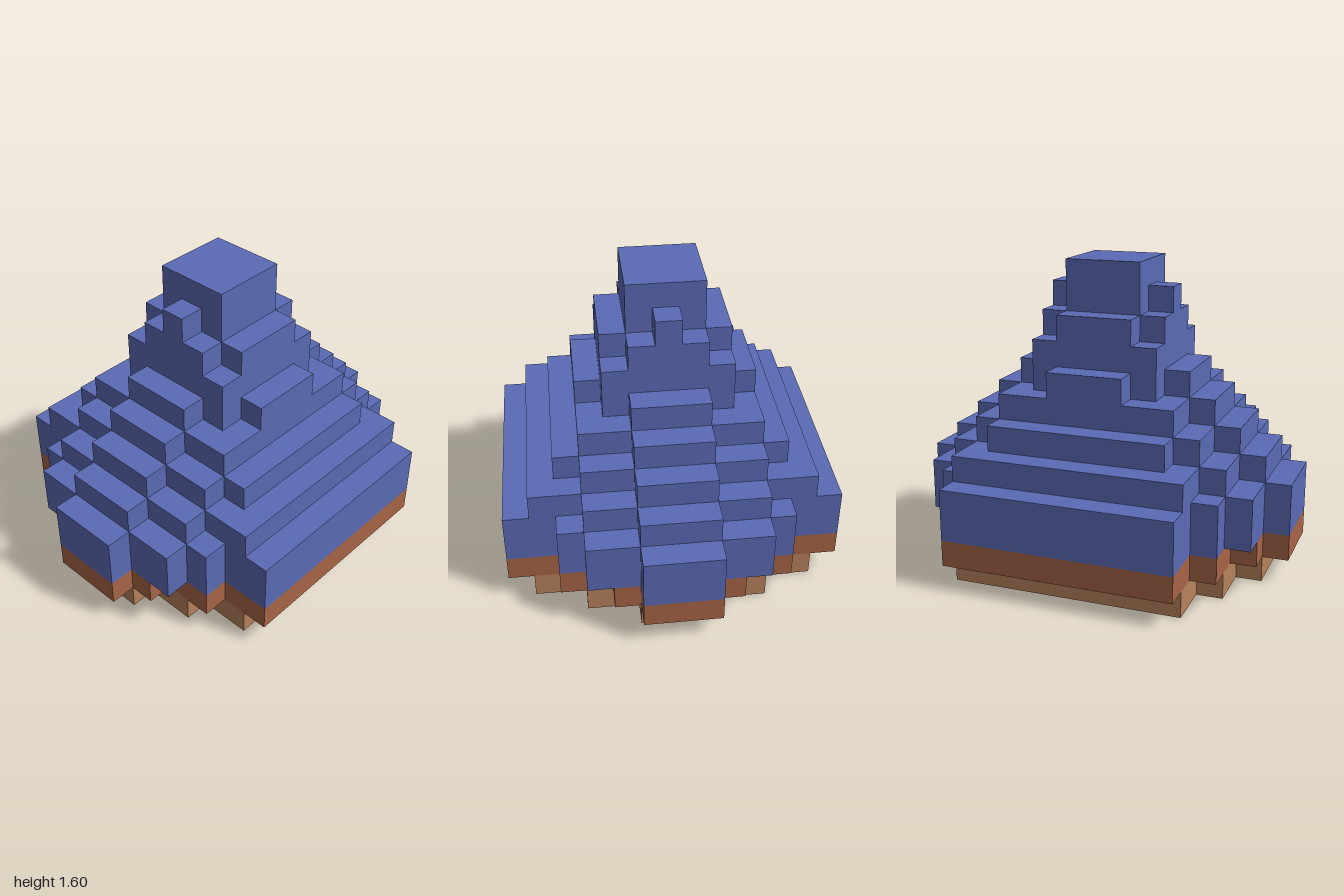
import * as THREE from 'three';

const U = 2 / 15; // edge of one block

// One quadrant of column heights: rows run outward in z, entries outward in x.
const HEIGHTS = [
  [12, 12, 11, 8, 7, 6, 5, 4],
  [12, 12, 10, 8, 7, 6, 5, 4],
  [10, 10, 9, 7, 6, 5, 4],
  [8, 8, 7, 7, 6, 5, 4],
  [6, 6, 6, 6, 5, 4],
  [5, 5, 5, 5, 5],
  [4, 4, 4, 4, 4],
];
// Blocks per row in the two undercut bottom layers.
const FOOTING = [7, 7, 6, 6, 5, 5, 0];
const BRIM = [8, 8, 7, 6, 6, 5, 5];

function solid(x, y, z) {
  const i = Math.abs(x), j = Math.abs(z);
  if (j > 6 || y < 0) return false;
  if (y === 0) return i < FOOTING[j];
  if (y === 1) return i < BRIM[j];
  return y < (HEIGHTS[j][i] ?? 0);
}

// Outward normal and two in-plane axes (u x v = n) for the six block sides.
const SIDES = [
  [[1, 0, 0], [0, 1, 0], [0, 0, 1]],
  [[-1, 0, 0], [0, 0, 1], [0, 1, 0]],
  [[0, 1, 0], [0, 0, 1], [1, 0, 0]],
  [[0, -1, 0], [1, 0, 0], [0, 0, 1]],
  [[0, 0, 1], [1, 0, 0], [0, 1, 0]],
  [[0, 0, -1], [0, 1, 0], [1, 0, 0]],
];
const CORNERS = [[-1, -1], [1, -1], [1, 1], [-1, -1], [1, 1], [-1, 1]];

// Exposed block sides chosen by pick(layer, side normal); the bottom stays open.
function shell(pick) {
  const positions = [], normals = [];
  for (let y = 0; y < 12; y++)
    for (let z = -6; z <= 6; z++)
      for (let x = -7; x <= 7; x++) {
        if (!solid(x, y, z)) continue;
        for (const [n, u, v] of SIDES) {
          if (solid(x + n[0], y + n[1], z + n[2])) continue;
          if (y + n[1] < 0 || !pick(y, n)) continue;
          const centre = [x, y + 0.5, z];
          for (const [a, b] of CORNERS) {
            for (let k = 0; k < 3; k++)
              positions.push((centre[k] + (n[k] + a * u[k] + b * v[k]) / 2) * U);
            normals.push(...n);
          }
        }
      }
  const g = new THREE.BufferGeometry();
  g.setAttribute('position', new THREE.Float32BufferAttribute(positions, 3));
  g.setAttribute('normal', new THREE.Float32BufferAttribute(normals, 3));
  return g;
}

function material(name, color) {
  const m = new THREE.MeshStandardMaterial({ color, side: THREE.DoubleSide });
  m.name = name;
  return m;
}

export function createModel() {
  const group = new THREE.Group();
  group.name = 'steppedHat';
  const add = (name, mat, pick) => {
    const mesh = new THREE.Mesh(shell(pick), mat);
    mesh.name = name;
    group.add(mesh);
  };

  // The band also owns the undersides level with its top.
  const underside = (y, n) => y === 2 && n[1] < 0;
  add('crown', material('blue', 0x5b6bb5), (y, n) => y >= 2 && !underside(y, n));
  add('brimBand', material('rust', 0xa86547), (y, n) => y === 1 || underside(y, n));
  add('footing', material('tan', 0xb8825c), (y) => y === 0);
  return group;
}
